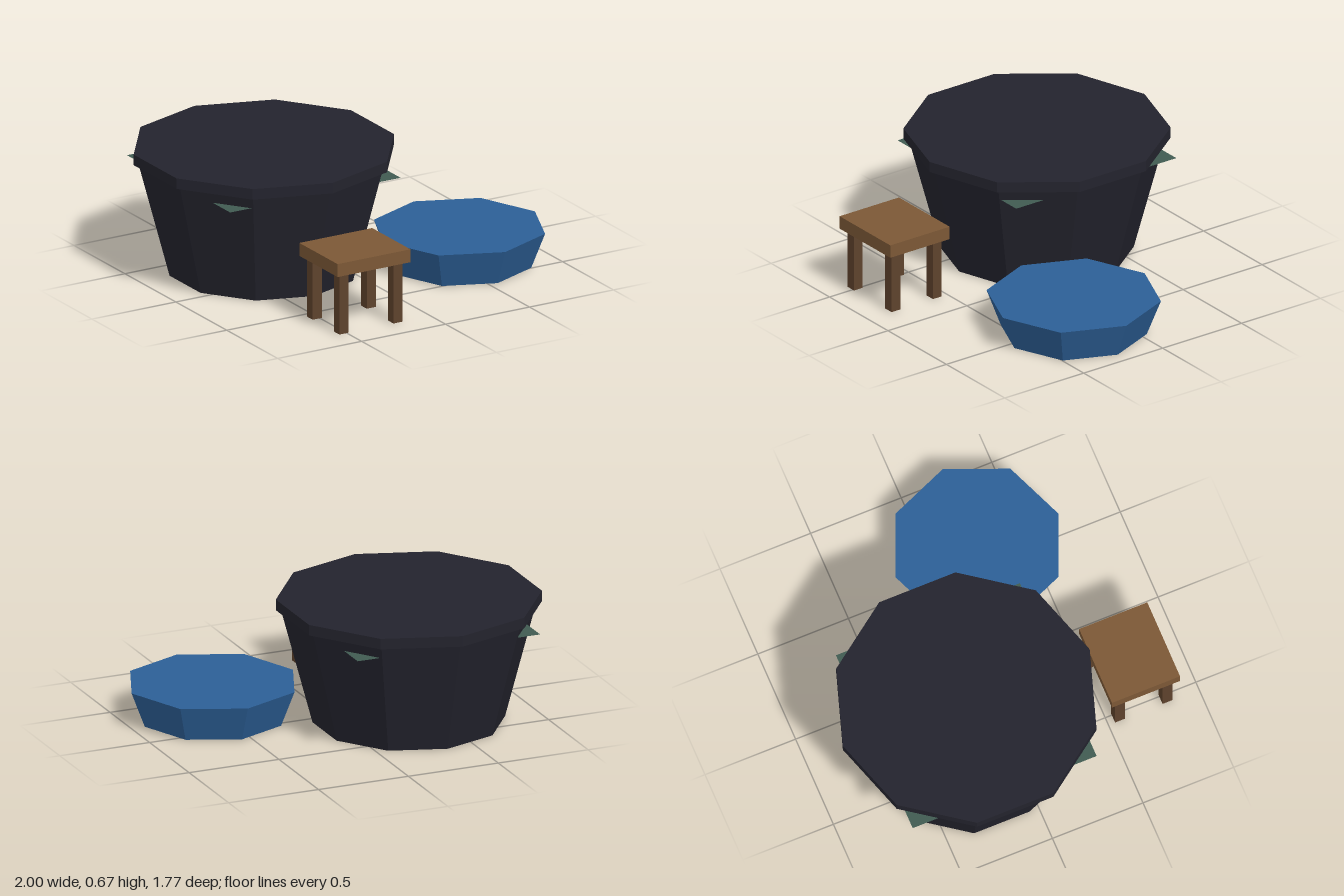
import * as THREE from 'three';

const material = (name, color, extra = {}) =>
  Object.assign(new THREE.MeshStandardMaterial({ color, flatShading: true, ...extra }), { name });

export function createModel() {
  const tubDark = material('charcoal', 0x23232d);
  const liquidGreen = material('murky green', 0x405b51, { side: THREE.DoubleSide });
  const basinBlue = material('blue', 0x2c5f96);
  const seatBrown = material('light wood', 0x7c5836);
  const legBrown = material('dark wood', 0x5e422c);

  const model = new THREE.Group();
  model.name = 'tubBasinAndStool';

  const add = (parent, name, geometry, mat, x, y, z) => {
    const mesh = new THREE.Mesh(geometry, mat);
    mesh.name = name;
    mesh.position.set(x, y, z);
    parent.add(mesh);
    return mesh;
  };
  const group = (name, x, z) => {
    const g = new THREE.Group();
    g.name = name;
    g.position.set(x, 0, z);
    model.add(g);
    return g;
  };

  // Large ten-sided tub with an overhanging rim
  const tub = group('tub', -0.352, -0.205);
  add(tub, 'tubBody', new THREE.CylinderGeometry(0.655, 0.493, 0.615, 10), tubDark, 0, 0.3075, 0);
  add(tub, 'tubRim', new THREE.CylinderGeometry(0.681, 0.681, 0.057, 10), tubDark, 0, 0.6415, 0);

  // Flat square sheet whose corners poke through the tub walls
  const sheet = new THREE.PlaneGeometry(1.015, 1.015).rotateX(-Math.PI / 2);
  add(tub, 'liquidSheet', sheet, liquidGreen, 0, 0.55, 0);

  // Low eight-sided basin
  const basin = group('basin', 0.55, 0.23);
  add(basin, 'basinBody', new THREE.CylinderGeometry(0.449, 0.376, 0.19, 8), basinBlue, 0, 0.095, 0);

  // Small stool with four square legs
  const stool = group('stool', -0.355, 0.695);
  add(stool, 'seat', new THREE.BoxGeometry(0.434, 0.07, 0.376), seatBrown, 0, 0.36, 0);
  for (const sx of [-1, 1]) {
    for (const sz of [-1, 1]) {
      add(stool, 'leg', new THREE.BoxGeometry(0.055, 0.325, 0.055), legBrown, sx * 0.161, 0.1625, sz * 0.131);
    }
  }

  return model;
}
